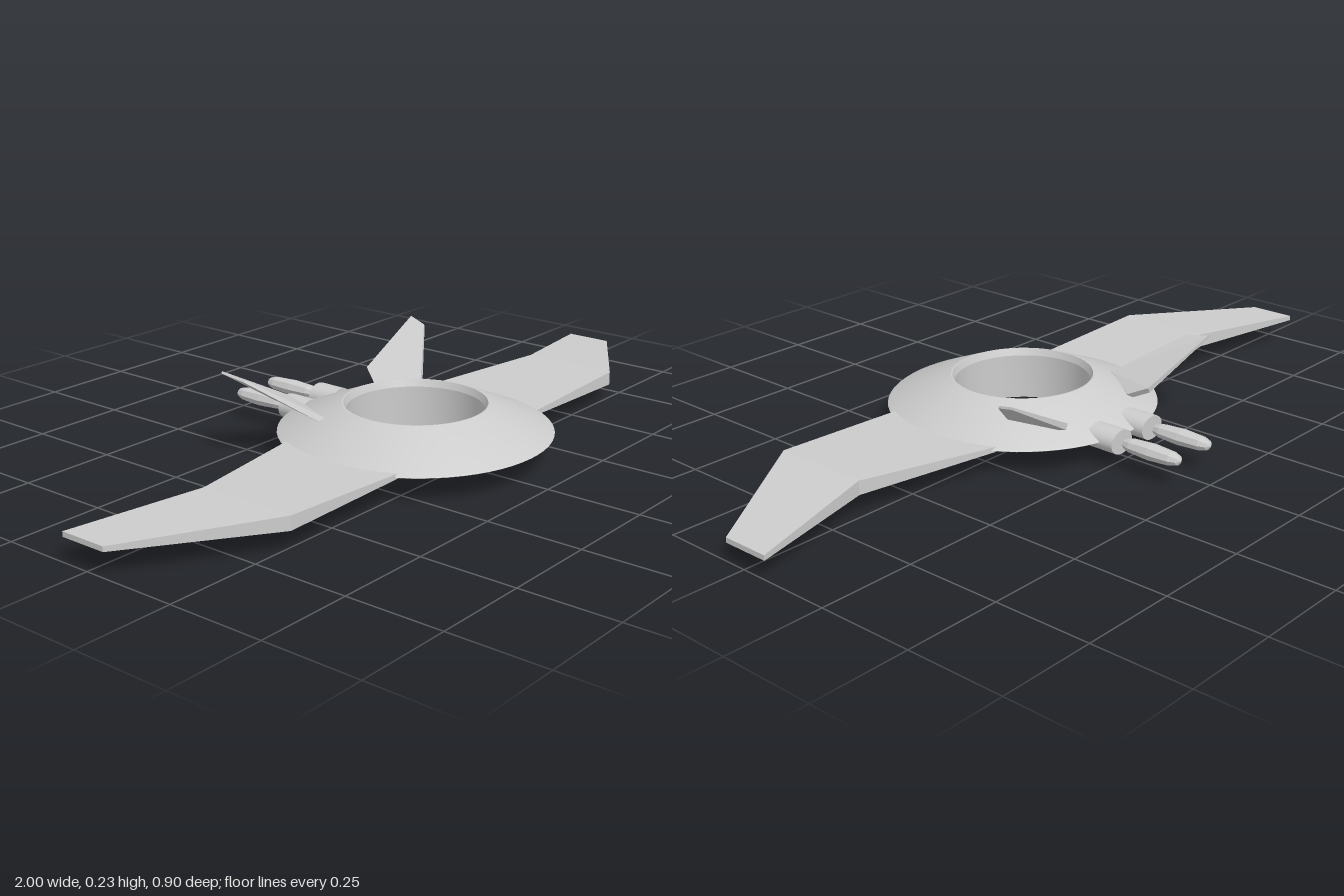
import * as THREE from 'three';
import { toCreasedNormals } from 'three/addons/utils/BufferGeometryUtils.js';

// Solid skinned through matching loops of [x, y, z], capped at both ends
function loft(loops) {
  const n = loops[0].length;
  const tris = [];
  for (let s = 0; s < loops.length - 1; s++) {
    for (let i = 0; i < n; i++) {
      const j = (i + 1) % n;
      const [a, b, c, d] = [loops[s][i], loops[s][j], loops[s + 1][j], loops[s + 1][i]];
      tris.push([a, b, c], [a, c, d]);
    }
  }
  const first = loops[0], last = loops[loops.length - 1];
  for (let i = 1; i < n - 1; i++) {
    tris.push([first[0], first[i + 1], first[i]], [last[0], last[i], last[i + 1]]);
  }
  // Turn the faces outwards if the enclosed volume is negative
  const v = (p) => new THREE.Vector3(...p);
  const volume = tris.reduce((sum, [a, b, c]) => sum + v(a).dot(v(b).cross(v(c))), 0);
  if (volume < 0) tris.forEach((t) => t.reverse());
  const geometry = new THREE.BufferGeometry();
  geometry.setAttribute('position', new THREE.Float32BufferAttribute(tris.flat(2), 3));
  geometry.computeVertexNormals();
  return geometry;
}

export function createModel() {
  const model = new THREE.Group();
  const smooth = new THREE.MeshStandardMaterial({ color: 0xcccccc });
  const flat = new THREE.MeshStandardMaterial({ color: 0xcccccc, flatShading: true });

  const add = (name, geometry, material) => {
    const mesh = new THREE.Mesh(geometry, material);
    mesh.name = name;
    model.add(mesh);
    return mesh;
  };

  // Ring hull: sharp outer rim, open centre with a bevelled upper lip
  const profile = [
    [0.175, 0], [0.345, 0.064], [0.35, 0.067], [0.345, 0.071],
    [0.186, 0.138], [0.182, 0.138], [0.175, 0.12], [0.175, 0],
  ].map(([r, y]) => new THREE.Vector2(r, y));
  const hull = add('ringHull', toCreasedNormals(new THREE.LatheGeometry(profile, 64), 0.35), smooth);
  hull.position.z = 0.1;

  // Wings: x, leading z, trailing z, bottom y, top y; the tips droop unequally
  const wing = (side, tipY) => loft([
    [0.28, 0.273, -0.078, 0.061, 0.073],
    [0.658, 0.27, 0.008, 0.051, 0.087],
    [1, 0.055, -0.072, tipY, tipY + 0.013],
  ].map(([x, zf, zb, lo, hi]) => [
    [side * x, lo, zf], [side * x, hi, zf], [side * x, hi, zb], [side * x, lo, zb],
  ]));
  add('leftWing', wing(1, 0.046), flat);
  add('rightWing', wing(-1, 0.06), flat);

  // Tail fins: canted plates, thicker at the root than at the tip
  const fin = (outline) => {
    const side = Math.sign(outline[0][0]);
    const shifted = (dir) => outline.map(([x, y, z]) => {
      const t = dir * (y > 0.18 ? 0.003 : 0.008);
      return [x - side * t * 0.5, y + t * 0.86, z];
    });
    return loft([shifted(-1), shifted(1)]);
  };
  add('leftFin', fin([
    [0.2, 0.112, -0.035], [0.355, 0.215, -0.145], [0.365, 0.228, -0.198],
    [0.172, 0.122, -0.197], [0.14, 0.096, -0.145],
  ]), flat);
  add('rightFin', fin([
    [-0.2, 0.112, -0.035], [-0.325, 0.215, -0.177], [-0.335, 0.228, -0.246],
    [-0.145, 0.122, -0.2], [-0.13, 0.096, -0.145],
  ]), flat);

  // Twin engines: a short nozzle, and a faceted exhaust pod floating behind it
  const nozzle = new THREE.CylinderGeometry(0.031, 0.031, 0.08, 24).rotateX(Math.PI / 2).scale(1.28, 1, 1);
  const podProfile = [
    [0, -0.087], [0.012, -0.08], [0.018, -0.06], [0.0215, 0],
    [0.018, 0.06], [0.012, 0.08], [0, 0.087],
  ].map(([r, y]) => new THREE.Vector2(r, y));
  const pod = new THREE.LatheGeometry(podProfile, 8).rotateX(Math.PI / 2).scale(1.2, 1, 1);
  for (const [side, x] of [['left', 0.056], ['right', -0.064]]) {
    add(side + 'Nozzle', nozzle, smooth).position.set(x, 0.066, -0.234);
    add(side + 'ExhaustPod', pod, flat).position.set(x, 0.066, -0.366);
  }

  return model;
}
